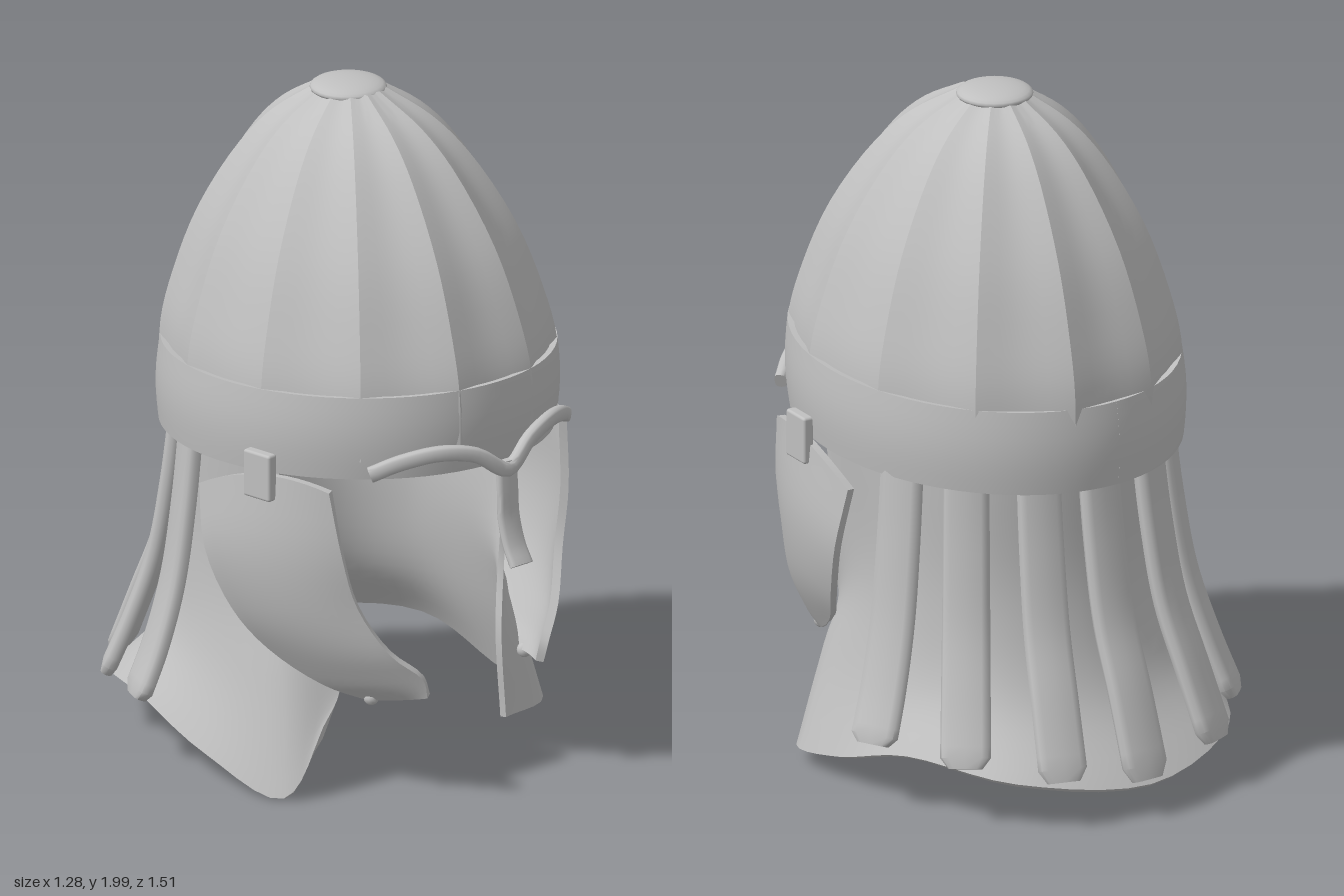
import * as THREE from 'three';
import { toCreasedNormals } from 'three/addons/utils/BufferGeometryUtils.js';
import { RoundedBoxGeometry } from 'three/addons/geometries/RoundedBoxGeometry.js';

const V = (x, y, z) => new THREE.Vector3(x, y, z);
const curve = pts => new THREE.CatmullRomCurve3(pts.map(p => (p.isVector3 ? p : V(...p))));

function build(pos, index, crease) {
  const g = new THREE.BufferGeometry();
  g.setAttribute('position', new THREE.Float32BufferAttribute(pos, 3));
  g.setIndex(index);
  return toCreasedNormals(g, crease);
}

// Plate of even thickness along the surface f(u, v), closed at its rims
function shell(f, nu, nv, thick, crease = 0.6) {
  const pos = [], index = [], e = 0.004, n = (nu + 1) * (nv + 1);
  const lo = t => Math.max(0, t - e), hi = t => Math.min(1, t + e);
  for (const side of [1, -1])
    for (let j = 0; j <= nv; j++)
      for (let i = 0; i <= nu; i++) {
        const u = i / nu, v = j / nv;
        const du = f(hi(u), v).sub(f(lo(u), v)), dv = f(u, hi(v)).sub(f(u, lo(v)));
        const p = f(u, v).addScaledVector(du.cross(dv).normalize(), side * thick / 2);
        pos.push(p.x, p.y, p.z);
      }
  const id = (i, j) => j * (nu + 1) + i;
  const quad = (a, b, c, d) => index.push(a, b, c, a, c, d);
  for (let j = 0; j < nv; j++)
    for (let i = 0; i < nu; i++) {
      const a = id(i, j), b = id(i + 1, j), c = id(i + 1, j + 1), d = id(i, j + 1);
      quad(a, b, c, d);
      quad(n + d, n + c, n + b, n + a);
    }
  const rim = (a, b) => quad(b, a, n + a, n + b);
  for (let i = 0; i < nu; i++) {
    rim(id(i, 0), id(i + 1, 0));
    rim(id(i + 1, nv), id(i, nv));
  }
  for (let j = 0; j < nv; j++) {
    rim(id(0, j + 1), id(0, j));
    rim(id(nu, j), id(nu, j + 1));
  }
  return build(pos, index, crease);
}

// Rounded strap swept along a path; side is the direction of its width
function strap(points, side, width, thick, steps = 20, widen = () => 1) {
  const path = curve(points), pos = [], index = [], sides = 12;
  const pow = c => Math.sign(c) * Math.abs(c) ** 0.6;
  for (let k = -1; k <= steps + 1; k++) {
    const t = Math.min(1, Math.max(0, k / steps));
    const p = path.getPoint(t), T = path.getTangent(t);
    const S = side.clone().addScaledVector(T, -side.dot(T)).normalize();
    const N = T.clone().cross(S);
    const size = k < 0 || k > steps ? 0.001 : widen(t);
    for (let i = 0; i < sides; i++) {
      const a = i / sides * Math.PI * 2;
      const q = p.clone().addScaledVector(S, pow(Math.cos(a)) * width / 2 * size)
        .addScaledVector(N, pow(Math.sin(a)) * thick / 2 * Math.min(1, size));
      pos.push(q.x, q.y, q.z);
    }
  }
  for (let k = 0; k < steps + 2; k++)
    for (let i = 0; i < sides; i++) {
      const a = k * sides + i, b = k * sides + (i + 1) % sides;
      index.push(a, b, b + sides, a, b + sides, a + sides);
    }
  return build(pos, index, 0.9);
}

// Twelve concave panels meeting at sharp ridges
function domeGeometry() {
  const xs = curve([[0.53, 1.06, 0], [0.526, 1.25, 0], [0.492, 1.4, 0], [0.42, 1.6, 0],
    [0.302, 1.8, 0], [0.21, 1.9, 0], [0.09, 1.98, 0]]);
  const pos = [], index = [], rows = 24, per = 8, n = 12 * per;
  for (let j = 0; j <= rows; j++) {
    const p = xs.getPoint(j / rows), cz = 0.01 + 0.045 * p.x / 0.53;
    const depth = 0.036 + 0.06 * j / rows;
    for (let i = 0; i < n; i++) {
      const a = (i / n) * Math.PI * 2 + Math.PI / 12;
      const r = p.x * (1 - depth * Math.sin((i % per) / per * Math.PI));
      pos.push(r * Math.sin(a), p.y, cz + r * Math.cos(a) * 1.15);
    }
  }
  for (let j = 0; j < rows; j++)
    for (let i = 0; i < n; i++) {
      const a = j * n + i, b = j * n + (i + 1) % n;
      index.push(a, b, b + n, a, b + n, a + n);
    }
  return build(pos, index, 0.25);
}

function bandPoint(u, v) {
  const a = Math.PI + u * Math.PI * 2, out = 0.01 * Math.sin(v * Math.PI);
  const z = 0.055 + (0.593 + out) * Math.cos(a) - 0.008 * v;
  return V((0.522 + out) * Math.sin(a), 1.2 + (z + 0.55) * 0.05 - v * 0.245, z);
}

function cheekGeometry(s) {
  const front = curve([[0.44, 0.97, 0.43], [0.42, 0.78, 0.46], [0.38, 0.62, 0.48],
    [0.31, 0.48, 0.54], [0.23, 0.4, 0.59], [0.21, 0.34, 0.59]]);
  const back = curve([[0.535, 0.9, -0.01], [0.55, 0.72, 0.03], [0.51, 0.55, 0.1],
    [0.45, 0.44, 0.18], [0.37, 0.35, 0.32], [0.29, 0.31, 0.43]]);
  return shell((u, v) => {
    const p = front.getPoint(v).lerp(back.getPoint(v), u);
    const arch = 4 * u * (1 - u), bulge = arch * (0.4 + 1.5 * v) * (1 - v);
    p.add(V(0.06 * bulge, 0.05 * arch * (1 - v) ** 4, 0.03 * bulge));
    p.x *= s;
    return p;
  }, 12, 20, 0.024);
}

// Neck guard: four rows from the band to the flared hem, each running from the front edge to the back
function neckGeometry() {
  const top = [[0.44, 1.02, 0.2], [0.45, 1.02, 0.1], [0.44, 1.02, -0.05], [0.4, 1.02, -0.19], [0.265, 1.02, -0.365]];
  const mid = [[0.4, 0.62, 0.21], [0.415, 0.6, 0.1], [0.42, 0.6, -0.06], [0.395, 0.6, -0.2], [0.265, 0.6, -0.37]];
  const low = [[0.3, 0.33, 0.3], [0.435, 0.34, 0.21], [0.46, 0.35, -0.05], [0.43, 0.34, -0.24], [0.3, 0.33, -0.44]];
  const hem = [[0.3, 0.07, 0.32], [0.52, 0.05, 0.23], [0.55, 0.09, 0], [0.53, 0.17, -0.28], [0.38, 0.14, -0.585]];
  const hemRight = [[0.39, 0.18, 0.32], [0.5, 0.015, 0.29], [0.56, 0.09, 0.02], ...hem.slice(3)];
  const row = (left, right, back) =>
    curve([...right.map(([x, y, z]) => [-x, y, z]), back, ...left.slice().reverse()]);
  const rows = [row(top, top, [0, 1.02, -0.455]), row(mid, mid, [0, 0.6, -0.46]),
    row(low, low, [0, 0.32, -0.535]), row(hem, hemRight, [0, 0.09, -0.715])];
  return shell((u, v) => curve(rows.map(r => r.getPoint(u))).getPoint(v), 50, 18, 0.018);
}

export function createModel() {
  const group = new THREE.Group();
  const metal = new THREE.MeshStandardMaterial({ color: 0xc0c0c0, side: THREE.DoubleSide });
  metal.name = 'greyMetal';
  const add = (name, geometry, parent = group) => {
    const mesh = new THREE.Mesh(geometry, metal);
    mesh.name = name;
    parent.add(mesh);
    return mesh;
  };

  // Bowl with its cap, brow band and nose guard
  const bowl = new THREE.Group();
  bowl.name = 'bowl';
  bowl.position.x = -0.012;
  group.add(bowl);
  add('dome', domeGeometry(), bowl);
  const cap = add('topCap', new THREE.SphereGeometry(0.11, 28, 14), bowl);
  cap.scale.y = 0.25;
  cap.position.set(0, 1.9725, 0.01);
  add('browBand', shell(bandPoint, 72, 6, 0.018), bowl);
  const brow = [[0.37, 1.03, 0.52], [0.3, 1.065, 0.575], [0.2, 1.085, 0.635], [0.1, 1.065, 0.67]];
  add('eyebrowRidge', strap([...brow.map(([x, y, z]) => [-x, y, z]), [0, 1.005, 0.69],
    ...brow.slice().reverse()], V(0, 1, 0), 0.045, 0.035, 40), bowl);
  add('noseGuard', strap([[0, 1.03, 0.685], [0, 0.94, 0.69], [0, 0.86, 0.695], [0, 0.78, 0.72],
    [0, 0.73, 0.75]], V(1, 0, 0), 0.07, 0.025, 20, t => 1 + 0.15 * t), bowl);

  // Cheek guards with hinge clips
  const cheeks = new THREE.Group();
  cheeks.name = 'cheekGuards';
  cheeks.position.x = -0.012;
  group.add(cheeks);
  for (const [s, side] of [[1, 'left'], [-1, 'right']]) {
    add(side + 'CheekGuard', cheekGeometry(s), cheeks);
    const clip = add(side + 'HingeClip', new RoundedBoxGeometry(0.034, 0.14, 0.1, 2, 0.008), cheeks);
    clip.position.set(s * 0.53, 0.99, 0.23);
    clip.rotation.y = s * -0.12;
    const nub = add(side + 'TieStud', new THREE.SphereGeometry(0.022, 12, 8), cheeks);
    nub.position.set(s * 0.29, 0.312, 0.435);
  }

  // Neck guard and the seven hanging straps over it
  add('neckGuard', neckGeometry());
  const straps = [
    [[0.455, -0.16], [0.61, 0.21, -0.22]],
    [[0.355, -0.325], [0.485, 0.185, -0.485]],
    [[0.195, -0.45], [0.275, 0.15, -0.67]],
    [[0.02, -0.5], [0.025, 0.12, -0.735]],
  ];
  straps.forEach(([[tx, tz], [bx, by, bz]], i) => {
    for (const s of i < 3 ? [1, -1] : [1]) {
      const at = (y, t) => [s * (tx + (bx - tx) * t), y, tz + (bz - tz) * t];
      const path = [at(1.02, 0), at(0.78, 0.14), at(0.55, 0.34), at(0.36, 0.65), at(by, 1)];
      const across = V(bz - 0.05, 0, -bx * s).normalize();
      add('neckStrap' + (i + 1) + (i > 2 ? 'Middle' : s > 0 ? 'Left' : 'Right'),
        strap(path, across, 0.13, 0.05, 24, t => (t > 0.97 ? 0.75 : 1 + 0.12 * t)));
    }
  });
  return group;
}
